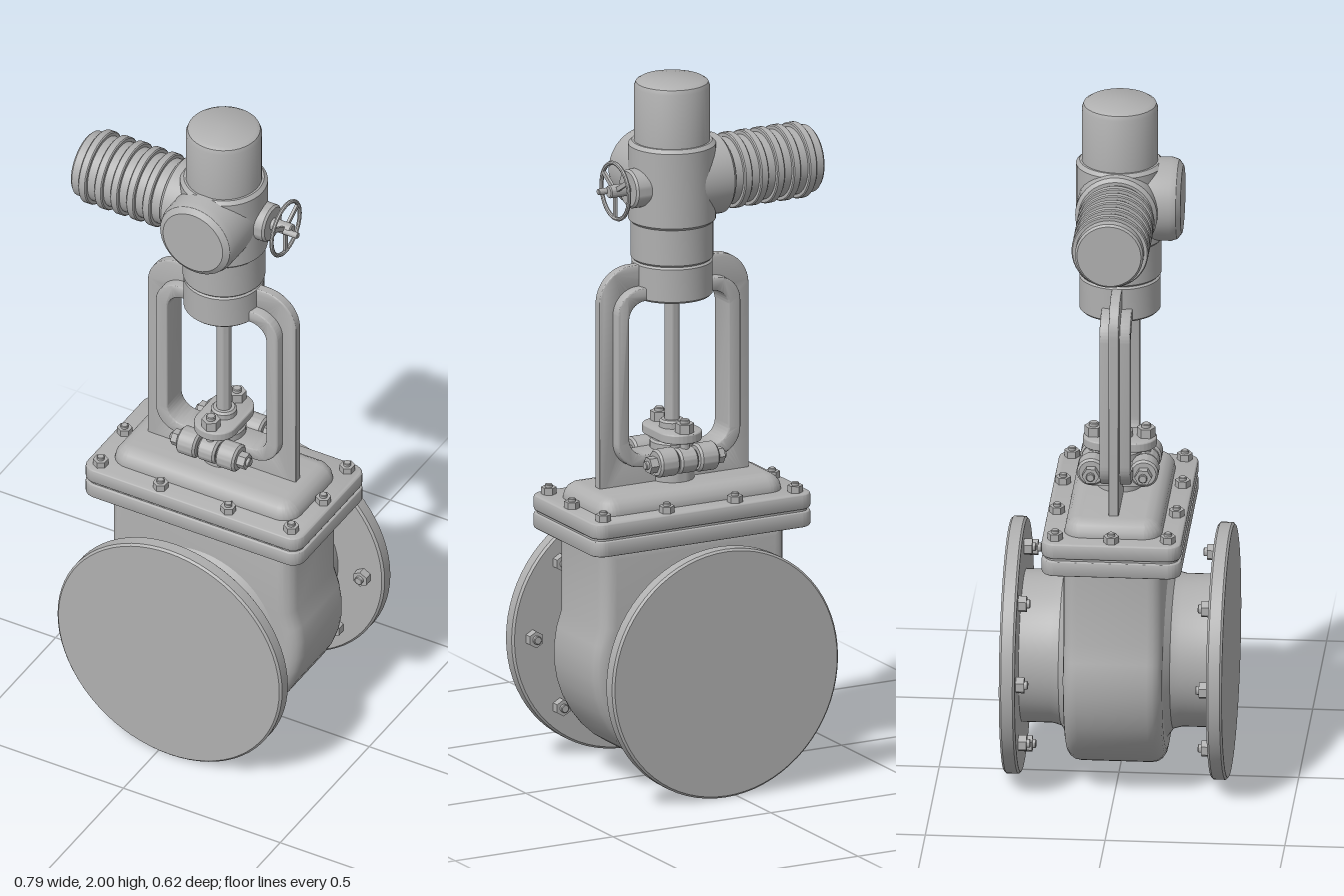
import * as THREE from 'three';
import { toCreasedNormals } from 'three/addons/utils/BufferGeometryUtils.js';

const castMetal = new THREE.MeshStandardMaterial({ color: 0xb0b0b0 });
castMetal.name = 'cast metal grey';

export function createModel() {
  const root = new THREE.Group();
  root.name = 'motorGateValve';
  const valve = new THREE.Group();
  valve.name = 'valve';
  valve.position.x = 0.037; // the motor overhangs to one side
  root.add(valve);

  const add = (name, geo, x = 0, y = 0, z = 0, parent = valve) => {
    const m = new THREE.Mesh(toCreasedNormals(geo, 0.6), castMetal);
    m.name = name;
    m.position.set(x, y, z);
    parent.add(m);
    return m;
  };

  // Solid of revolution from [radius, height] pairs, laid along the given axis
  const turned = (pts, axis = 'y', seg = 40) => {
    const g = new THREE.LatheGeometry(pts.map(p => new THREE.Vector2(p[0], p[1])), seg);
    if (axis === 'z') g.rotateX(Math.PI / 2);
    if (axis === 'x') g.rotateZ(-Math.PI / 2);
    return g;
  };
  // Cylinder between two heights with chamfered rims
  const drum = (r, a, b, axis = 'y', c = 0.006, seg = 40) =>
    turned([[0, a], [r - c, a], [r, a + c], [r, b - c], [r - c, b], [0, b]], axis, seg);

  const roundRect = (x0, y0, x1, y1, r, T = THREE.Shape) => {
    const s = new T();
    s.moveTo(x0 + r, y0);
    s.lineTo(x1 - r, y0);
    s.absarc(x1 - r, y0 + r, r, -Math.PI / 2, 0);
    s.lineTo(x1, y1 - r);
    s.absarc(x1 - r, y1 - r, r, 0, Math.PI / 2);
    s.lineTo(x0 + r, y1);
    s.absarc(x0 + r, y1 - r, r, Math.PI / 2, Math.PI);
    s.lineTo(x0, y0 + r);
    s.absarc(x0 + r, y0 + r, r, Math.PI, Math.PI * 1.5);
    return s;
  };
  // Extrusion centred on z, keeping the outline and total depth
  const plate = (shape, depth, bevel) => {
    const g = new THREE.ExtrudeGeometry(shape, {
      depth: depth - 2 * bevel, bevelEnabled: bevel > 0, bevelThickness: bevel,
      bevelSize: bevel, bevelOffset: -bevel, bevelSegments: 4, curveSegments: 12,
    });
    return g.translate(0, 0, bevel - depth / 2);
  };
  const slab = (w, d, h, r, bevel) =>
    plate(roundRect(-w / 2, -d / 2, w / 2, d / 2, r), h, bevel).rotateX(-Math.PI / 2);

  // Hexagon nut with stud end, pointing along +y
  const bolt = (name, x, y, z, s = 1, parent = valve) => {
    const g = new THREE.Group();
    g.name = name;
    g.position.set(x, y, z);
    g.scale.setScalar(s);
    add('nut', new THREE.CylinderGeometry(0.024, 0.024, 0.024, 6).translate(0, 0.012, 0), 0, 0, 0, g);
    add('stud', drum(0.012, 0, 0.034, 'y', 0.002, 16), 0, 0, 0, g);
    parent.add(g);
    return g;
  };

  // Valve body: round bottom, straight sides up to the bonnet
  const CY = 0.36, R = 0.315, W = 0.29, dy = Math.sqrt(R * R - W * W);
  const a = Math.atan2(dy, W);
  const bodyShape = new THREE.Shape();
  bodyShape.moveTo(-W, 0.36);
  bodyShape.lineTo(-W, dy);
  bodyShape.absarc(0, 0, R, Math.PI - a, Math.PI * 2 + a);
  bodyShape.lineTo(W, 0.36);
  add('valveBody', plate(bodyShape, 0.276, 0.04), 0, CY, 0);

  // Pipe neck and end flanges
  add('pipeNeck', turned([[0.213, -0.28], [0.213, -0.18], [0.22, -0.155], [0.245, -0.137],
    [0.245, 0.137], [0.22, 0.155], [0.213, 0.18], [0.213, 0.28]], 'z', 64), 0, CY, 0);
  for (const s of [1, -1]) {
    const end = new THREE.Group();
    end.name = s > 0 ? 'frontFlange' : 'backFlange';
    end.position.y = CY;
    if (s < 0) end.rotation.y = Math.PI;
    valve.add(end);
    add('flangeDisc', drum(0.358, 0.266, 0.31, 'z', 0.006, 72), 0, 0, 0, end);
    for (let i = 0; i < 8; i++) {
      const t = i * Math.PI / 4;
      bolt('flangeBolt', Math.cos(t) * 0.295, Math.sin(t) * 0.295, 0.267, 1, end).rotation.x = -Math.PI / 2;
    }
  }

  // Bonnet: paired plates, domed cover and bolts
  add('bodyTopPlate', slab(0.695, 0.388, 0.045, 0.04, 0.006), 0, 0.732, 0);
  add('bonnetGasket', slab(0.68, 0.372, 0.02, 0.035, 0), 0, 0.758, 0);
  add('bonnetPlate', slab(0.695, 0.388, 0.045, 0.04, 0.008), 0, 0.783, 0);
  add('bonnetDome', slab(0.586, 0.272, 0.1, 0.055, 0.045), 0, 0.801, 0);
  const spots = [[0.317, 0], [-0.317, 0]];
  for (const x of [-0.304, -0.108, 0.108, 0.304])
    for (const s of [1, -1]) spots.push([x, s * (Math.abs(x) > 0.2 ? 0.157 : 0.166)]);
  for (const [x, z] of spots) bolt('bonnetBolt', x, 0.803, z, 0.9);

  // Yoke: thin web around a wider inner rim
  const yokeOuter = new THREE.Shape();
  yokeOuter.moveTo(-0.236, 0.81);
  yokeOuter.lineTo(0.236, 0.81);
  yokeOuter.lineTo(0.236, 1.38);
  yokeOuter.absarc(0.136, 1.38, 0.1, 0, Math.PI / 2);
  yokeOuter.lineTo(-0.136, 1.48);
  yokeOuter.absarc(-0.136, 1.38, 0.1, Math.PI / 2, Math.PI);
  yokeOuter.holes.push(roundRect(-0.16, 0.94, 0.16, 1.38, 0.05, THREE.Path));
  add('yokeWeb', plate(yokeOuter, 0.028, 0.004));
  const rim = roundRect(-0.195, 0.905, 0.195, 1.42, 0.075);
  rim.holes.push(roundRect(-0.157, 0.94, 0.157, 1.382, 0.05, THREE.Path));
  add('yokeRim', plate(rim, 0.086, 0.006));

  // Stem and gland packing
  add('stem', drum(0.021, 0.9, 1.42, 'y', 0.002, 24));
  add('stuffingBox', drum(0.062, 0.83, 0.965));
  add('glandPlate', slab(0.125, 0.205, 0.028, 0.06, 0.005), 0, 0.984, 0);
  add('glandCollar', drum(0.036, 0.99, 1.02));
  for (const s of [1, -1]) {
    const z = s * 0.073;
    bolt('glandBolt', 0, 0.998, z, 1.1);
    add('eyeBoltShank', drum(0.013, 0.92, 1.0, 'y', 0.002, 16), 0, 0.0, z);
    add('eyeBolt', drum(0.036, -0.028, 0.028, 'x'), 0, 0.918, z);
    for (const t of [1, -1]) {
      add('hingeLug', drum(0.04, -0.03, 0.03, 'x'), t * 0.063, 0.92, z);
      add('lugArm', new THREE.BoxGeometry(0.05, 0.06, 0.075), t * 0.063, 0.91, s * 0.035);
      bolt('hingeBolt', t * 0.093, 0.918, z).rotation.z = -t * Math.PI / 2;
    }
  }

  // Actuator column
  add('couplingBase', drum(0.113, 1.38, 1.485));
  add('couplingSleeve', drum(0.115, 1.485, 1.6));
  add('gearHousing', drum(0.122, 1.59, 1.825, 'y', 0.01));
  add('topCap', turned([[0, 1.8], [0.106, 1.8], [0.106, 1.98], [0.101, 1.993], [0.09, 2], [0, 2]]));

  // Front control housing
  add('controlHousing', turned([[0, 0], [0.117, 0], [0.117, 0.145], [0.111, 0.163],
    [0.095, 0.175], [0, 0.175]], 'z'), 0, 1.71, 0);

  // Ribbed motor on the right-hand side
  add('motorMount', drum(0.114, -0.147, 0, 'x', 0.01), 0, 1.71, 0);
  add('motorBarrel', drum(0.095, -0.436, -0.1, 'x'), 0, 1.71, 0.003);
  for (let i = 0; i < 5; i++)
    add('motorRib', drum(0.107, -0.012, 0.012, 'x', 0.003), -0.392 + i * 0.051, 1.71, 0.003);

  // Handwheel with three spokes on the left side
  const wheel = new THREE.Group();
  wheel.name = 'handwheel';
  wheel.position.set(0, 1.705, -0.015);
  valve.add(wheel);
  add('wheelBoss', drum(0.055, 0.05, 0.148, 'x'), 0, 0, 0, wheel);
  add('wheelShaft', drum(0.018, 0.14, 0.21, 'x', 0.003, 20), 0, 0, 0, wheel);
  add('wheelRim', new THREE.TorusGeometry(0.079, 0.006, 8, 40).rotateY(Math.PI / 2), 0.188, 0, 0, wheel);
  for (let i = 0; i < 3; i++) {
    const spoke = add('wheelSpoke', new THREE.BoxGeometry(0.008, 0.078, 0.013).translate(0, 0.039, 0),
      0.188, 0, 0, wheel);
    spoke.rotation.x = Math.PI + i * Math.PI * 2 / 3;
  }
  add('wheelHandle', drum(0.009, 0.188, 0.236, 'x', 0.002, 16), 0, 0.0, 0.013, wheel);

  return root;
}
